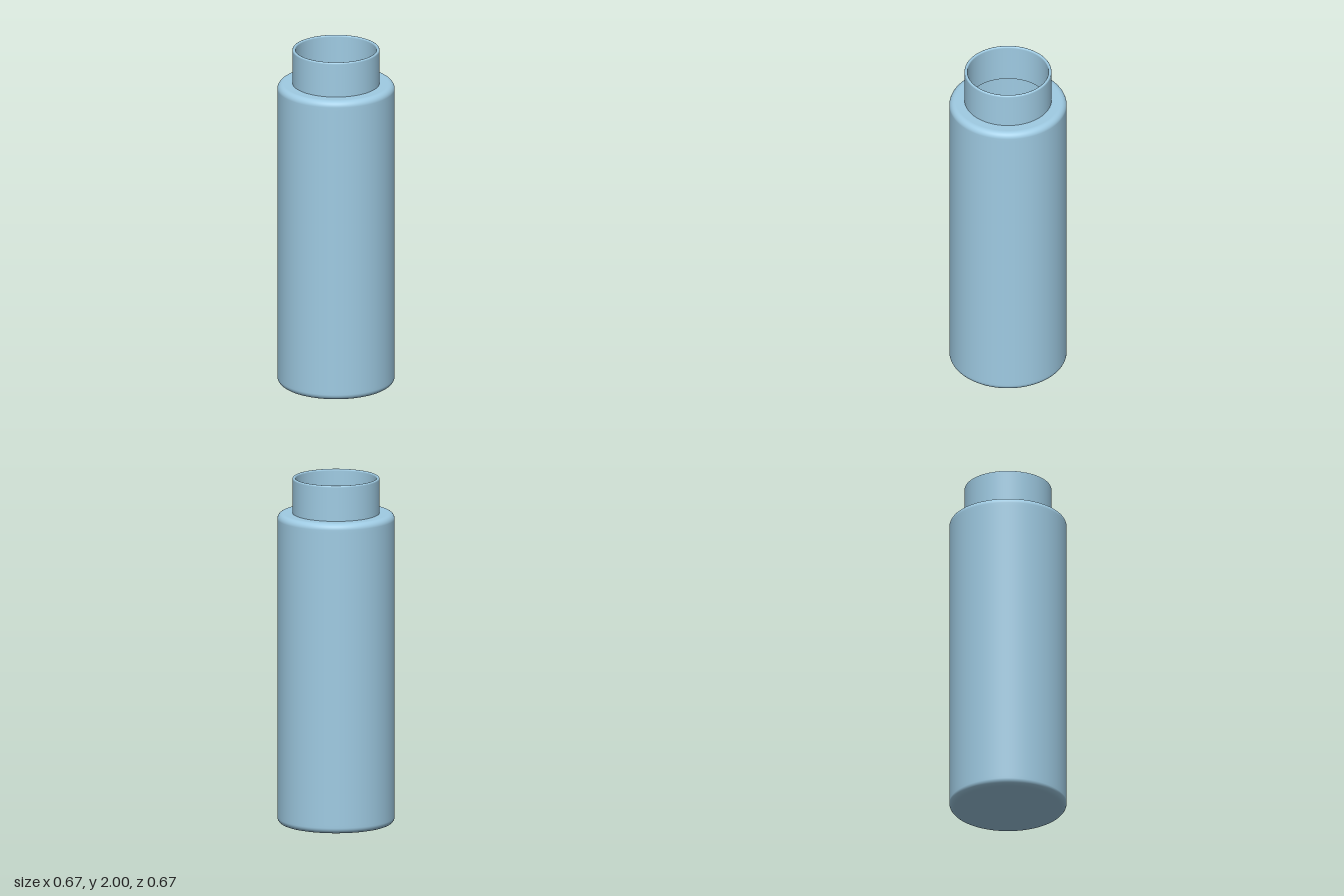
import * as THREE from 'three';

const BODY_R = 0.333, SHOULDER_Y = 1.795, FILLET = 0.035;
const NECK_R = 0.247, TOP_Y = 2, WALL = 0.017, SIDES = 128;

const material = new THREE.MeshStandardMaterial({ color: 0x9fcbe3, side: THREE.DoubleSide });

// Points along a circular arc, from angle a to angle b (degrees)
function arc(cx, cy, r, a, b, steps = 10) {
  return Array.from({ length: steps + 1 }, (_, i) => {
    const t = THREE.MathUtils.degToRad(a + ((b - a) * i) / steps);
    return [cx + r * Math.cos(t), cy + r * Math.sin(t)];
  });
}

// Smooth surface of revolution; guard points keep long straight runs flat-shaded next to arcs
function revolve(name, profile) {
  const pts = [];
  profile.forEach(([x, y], i) => {
    const p = new THREE.Vector2(Math.max(x, 0), y);
    if (i > 0) {
      const q = pts[pts.length - 1];
      if (q.distanceTo(p) > 0.03) pts.push(q.clone().lerp(p, 0.01), q.clone().lerp(p, 0.99));
    }
    pts.push(p);
  });
  const mesh = new THREE.Mesh(new THREE.LatheGeometry(pts, SIDES), material);
  mesh.name = name;
  return mesh;
}

// Closed cylinder wall with rounded bottom and top edges, ending at the neck
function shell(r, bottom, top, fillet, neckR) {
  return [
    [0, bottom],
    ...arc(r - fillet, bottom + fillet, fillet, -90, 0),
    ...arc(r - fillet, top - fillet, fillet, 0, 90),
    [neckR, top],
  ];
}

export function createModel() {
  const group = new THREE.Group();
  group.name = 'bottle';
  const innerNeck = NECK_R - WALL, lip = WALL / 2;

  // Outer body with rounded base and shoulder
  group.add(revolve('body', shell(BODY_R, 0, SHOULDER_Y, FILLET, NECK_R)));

  // Hollow inside of the body
  const cavity = shell(BODY_R - WALL, WALL, SHOULDER_Y - WALL, FILLET - WALL, innerNeck);
  group.add(revolve('bodyInterior', cavity.reverse()));

  // Neck: outer wall, rounded lip, inner wall
  group.add(revolve('neck', [
    [NECK_R, SHOULDER_Y],
    ...arc(NECK_R - lip, TOP_Y - lip, lip, 0, 180),
    [innerNeck, SHOULDER_Y - WALL],
  ]));
  return group;
}
